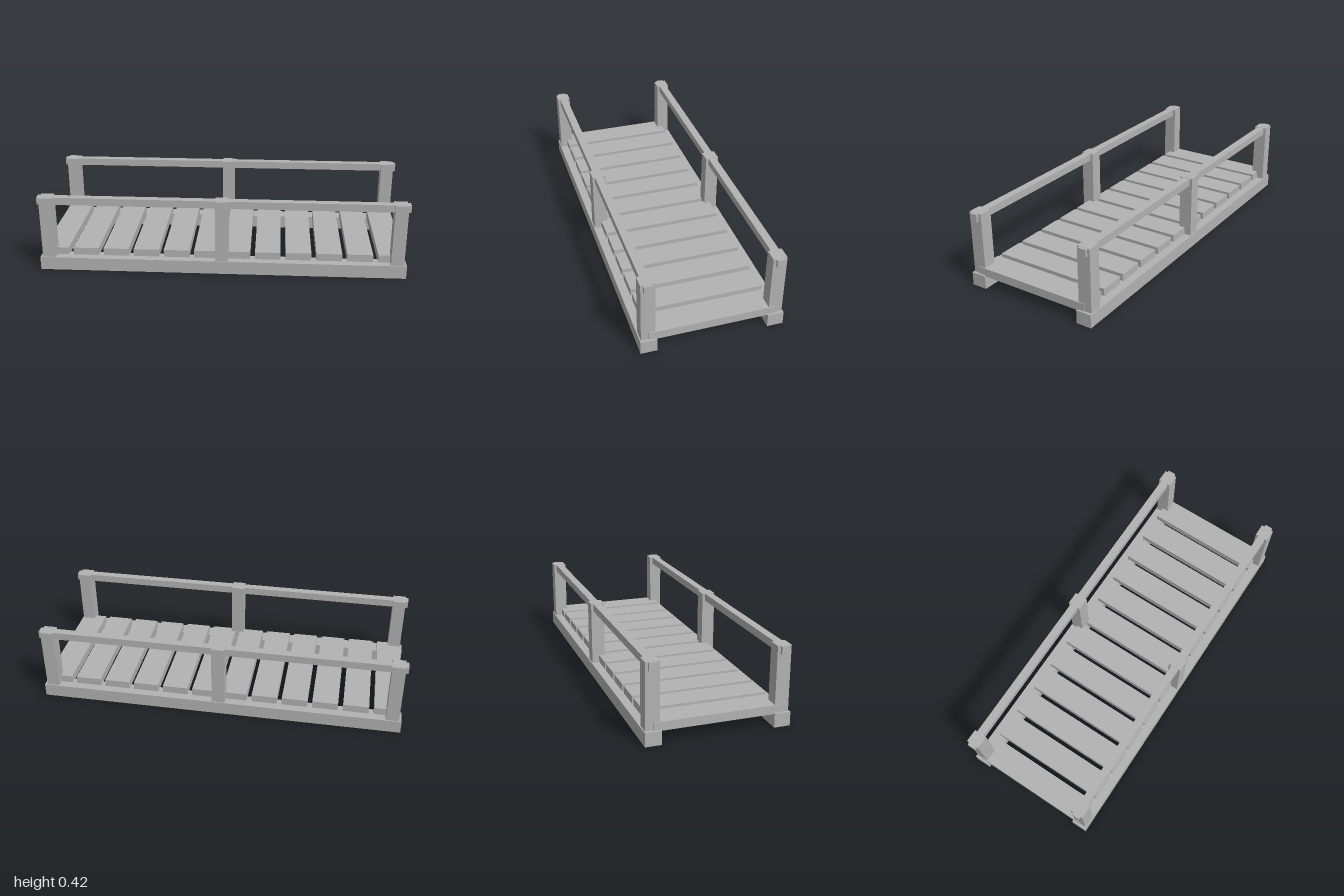
import * as THREE from 'three';

export function createModel() {
  const model = new THREE.Group();
  model.name = 'footbridge';
  const grey = new THREE.MeshStandardMaterial({ color: 0xb3b3b3 });
  grey.name = 'plain grey';

  // Box spanning y0..y1, centred on x and z
  function box(name, width, y0, y1, depth, x, z) {
    const mesh = new THREE.Mesh(new THREE.BoxGeometry(width, y1 - y0, depth), grey);
    mesh.position.set(x, (y0 + y1) / 2, z);
    mesh.name = name;
    model.add(mesh);
  }

  // Beam, posts and handrail on each side
  for (const side of [1, -1]) {
    const label = side > 0 ? 'front' : 'back';
    const z = side * 0.333;
    box(label + 'Beam', 2, 0, 0.073, 0.085, 0, z);
    box(label + 'Rail', 2, 0.376, 0.417, 0.043, 0, z + side * 0.001);
    for (const x of [-0.95, 0, 0.95]) {
      box(label + 'Post', 0.071, 0.068, 0.418, 0.073, x, z);
    }
  }

  // Deck planks laid across the beams
  const count = 12, width = 0.14, reach = 0.99;
  const pitch = (2 * reach - width) / (count - 1);
  for (let i = 0; i < count; i++) {
    box('deckPlank', width, 0.068, 0.114, 0.66, -reach + width / 2 + i * pitch, 0);
  }
  return model;
}
